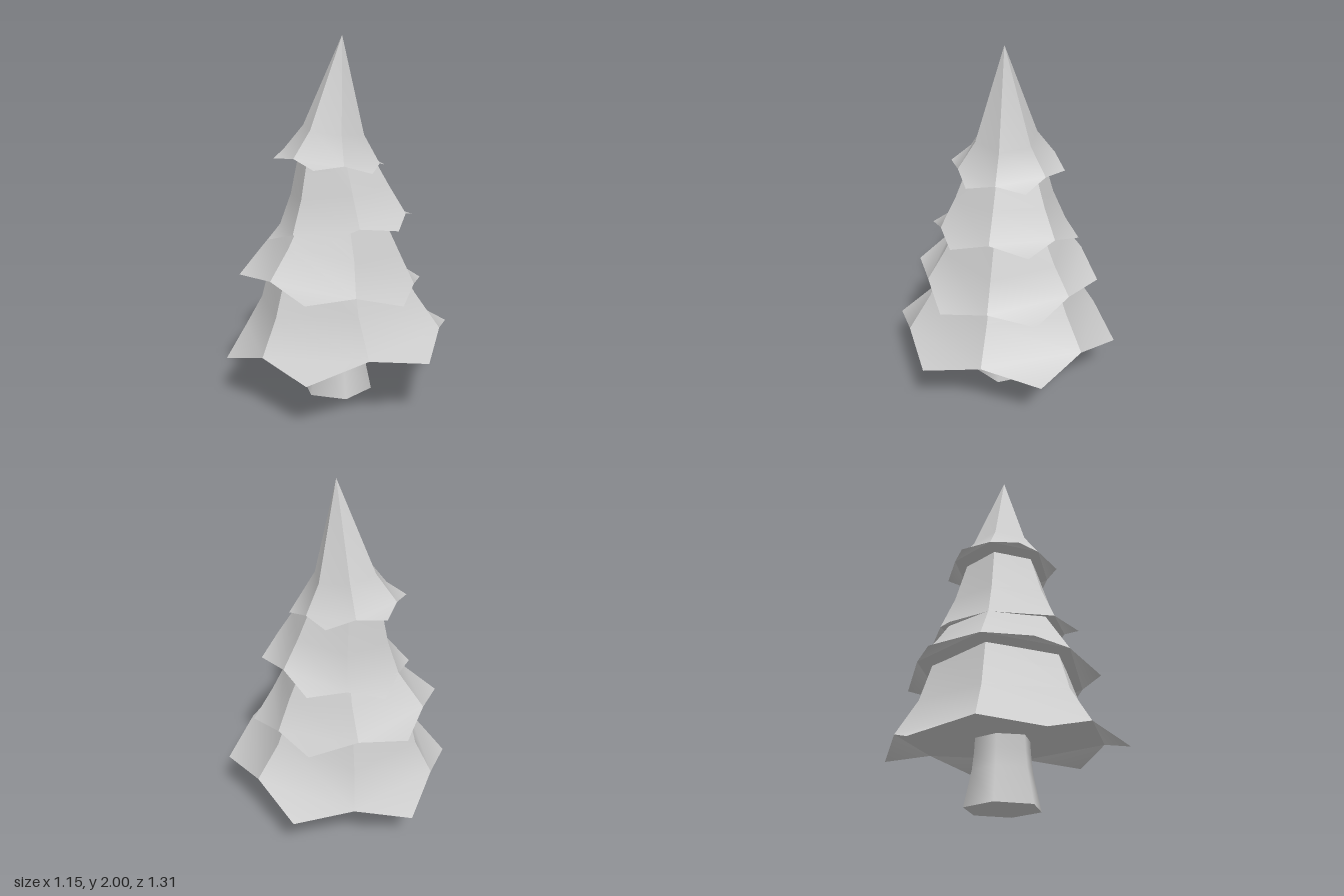
import * as THREE from 'three';
import { mergeGeometries } from 'three/addons/utils/BufferGeometryUtils.js';

const SIDES = 6;
// Thin branch tips and the open trunk top need both sides
const material = new THREE.MeshStandardMaterial({ color: 0xcccccc, side: THREE.DoubleSide });

// Each ring: [radius, centre x, centre y, slope along x]
const TIERS = [
  { ridge: [0.575, 0, 0.367, 0.078], tip: [0.655, 0.002, 0.289, 0.083], mid: [0.452, -0.02, 0.556, 0.11], top: [0.365, -0.02, 0.79, -0.1] },
  { ridge: [0.465, -0.038, 0.71, -0.114], tip: [0.53, -0.041, 0.666, -0.11], mid: [0.36, -0.018, 0.875, -0.12], top: [0.25, -0.018, 1.06, 0] },
  { ridge: [0.363, 0.01, 1.001, 0.147], tip: [0.417, 0.013, 0.958, 0.13], mid: [0.28, -0.005, 1.17, 0.14], top: [0.19, -0.028, 1.42, -0.1] },
  { ridge: [0.275, -0.05, 1.352, -0.105], tip: [0.317, -0.054, 1.322, -0.11], mid: [0.172, -0.035, 1.498, -0.13], top: [0, 0.014, 2, 0] },
];

// Point on a tilted ring at a given angle
function ringPoint([radius, cx, cy, slope], angle) {
  const dx = radius * Math.cos(angle);
  return [cx + dx, cy + slope * dx, radius * Math.sin(angle)];
}

function facets(points, index) {
  const geometry = new THREE.BufferGeometry();
  geometry.setAttribute('position', new THREE.Float32BufferAttribute(points.flat(), 3));
  geometry.setIndex(index);
  geometry.computeVertexNormals();
  return geometry.toNonIndexed();
}

// One branch tier: six smooth sectors with sharp ridges between, each ending in a thin flared tip
function tierGeometry({ ridge, tip, mid, top }) {
  const parts = [];
  const step = (Math.PI * 2) / SIDES;
  for (let i = 0; i < SIDES; i++) {
    const a = i * step, b = a + step;
    const ridgeA = ringPoint(ridge, a), ridgeB = ringPoint(ridge, b);
    // outer sector with its tip
    parts.push(facets(
      [ridgeA, ringPoint(tip, a + step / 2), ridgeB, ringPoint(mid, a), ringPoint(mid, b), ringPoint(top, a), ringPoint(top, b)],
      [0, 2, 1, 0, 3, 4, 0, 4, 2, 3, 5, 6, 3, 6, 4]));
    // flat underside
    parts.push(facets([[ridge[1], ridge[2], 0], ridgeA, ridgeB], [0, 1, 2]));
  }
  return mergeGeometries(parts);
}

export function createModel() {
  const tree = new THREE.Group();
  tree.name = 'pineTree';

  // Flared six-sided trunk
  const trunk = new THREE.Group();
  trunk.name = 'trunk';
  trunk.position.x = -0.017;
  const profile = [[0.206, 0], [0.165, 0.19], [0.155, 0.28], [0.15, 0.365]].map(([r, y]) => new THREE.Vector2(r, y));
  const bark = new THREE.Mesh(new THREE.LatheGeometry(profile, SIDES, Math.PI / 2), material);
  bark.name = 'trunkSide';
  const base = new THREE.Mesh(new THREE.CircleGeometry(0.206, SIDES).rotateX(Math.PI / 2), material);
  base.name = 'trunkBase';
  trunk.add(bark, base);
  tree.add(trunk);

  // Stacked branch tiers, lowest first
  TIERS.forEach((tier, i) => {
    const mesh = new THREE.Mesh(tierGeometry(tier), material);
    mesh.name = `branchTier${i + 1}`;
    tree.add(mesh);
  });
  return tree;
}
